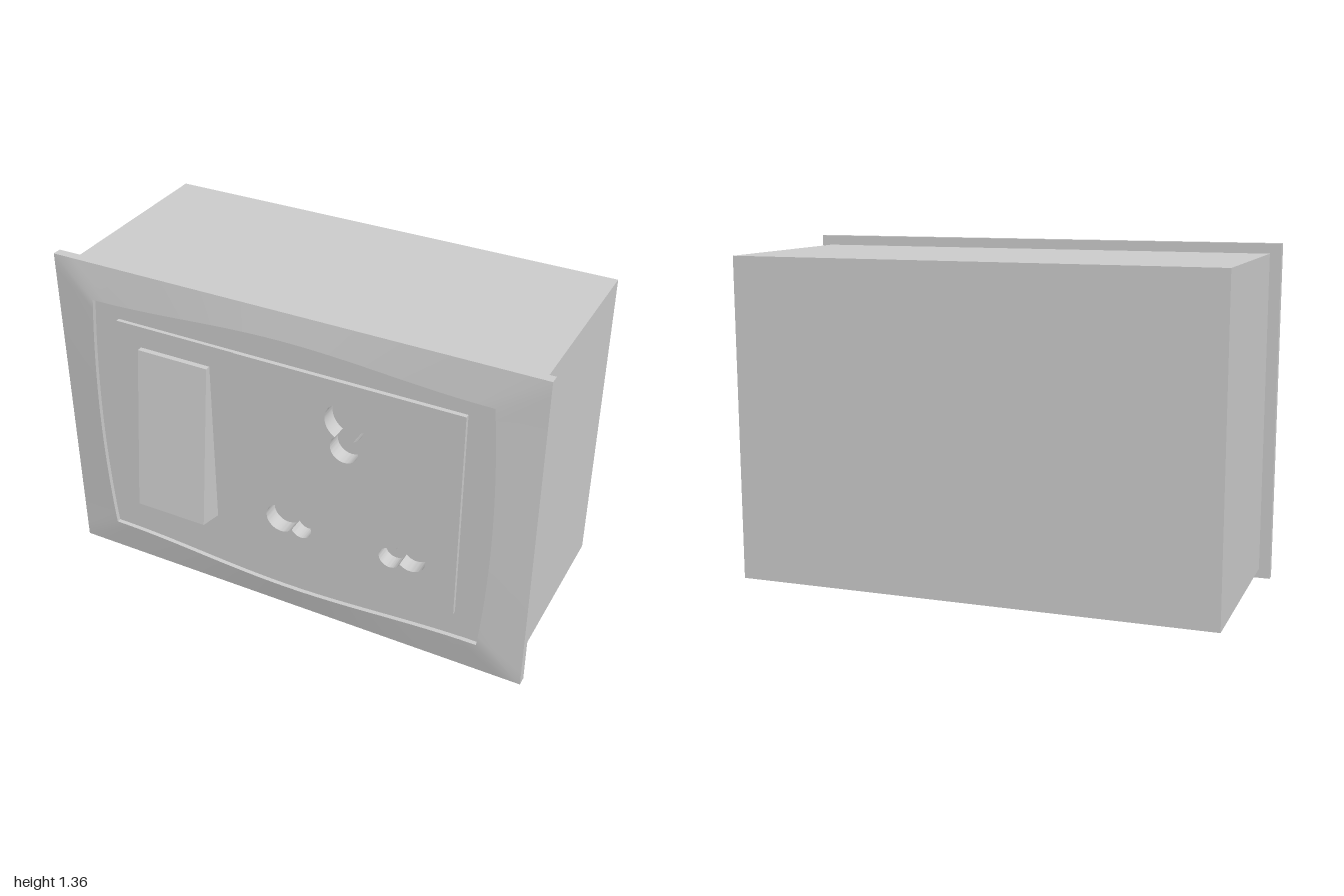
import * as THREE from 'three';
import { toCreasedNormals } from 'three/addons/utils/BufferGeometryUtils.js';

const MID = 0.68; // height of the plate centre
const material = new THREE.MeshStandardMaterial({ color: 0xcccccc });

function add(group, name, geometry, x = 0, y = 0, z = 0) {
  const mesh = new THREE.Mesh(geometry, material);
  mesh.name = name;
  mesh.position.set(x, y, z);
  group.add(mesh);
}

// Outlines: a point on one side (0 bottom, 1 right, 2 top, 3 left), s from -1 to 1
function rectangle(w, h) {
  return (side, s) => [[s * w, -h], [w, s * h], [-s * w, h], [-w, -s * h]][side];
}
function bowedFrame(side, s) {
  const v = 0.535 + 0.02 * (1 + Math.cos(Math.PI * s));
  const u = 0.82 + 0.027 * (1 - s * s);
  return [[s * 0.82, -v], [u, s * 0.535], [-s * 0.82, v], [-u, -s * 0.535]][side];
}

// Strips of quads between successive outlines
function loft(rings, steps) {
  const pos = [];
  for (let r = 0; r < rings.length - 1; r++) {
    for (let side = 0; side < 4; side++) {
      for (let i = 0; i < steps; i++) {
        const at = (k, j) => {
          const [outline, z] = rings[k];
          const [x, y] = outline(side, (2 * j) / steps - 1);
          return [x, y + MID, z];
        };
        const a = at(r, i), b = at(r, i + 1), c = at(r + 1, i + 1), d = at(r + 1, i);
        pos.push(...a, ...b, ...c, ...a, ...c, ...d);
      }
    }
  }
  const g = new THREE.BufferGeometry();
  g.setAttribute('position', new THREE.Float32BufferAttribute(pos, 3));
  return toCreasedNormals(g, 0.5);
}

// Keyhole outline: the union of two overlapping circles
function keyhole(ax, ay, ra, bx, by, rb) {
  const d = Math.hypot(bx - ax, by - ay), t = Math.atan2(by - ay, bx - ax);
  const alpha = Math.acos((d * d + ra * ra - rb * rb) / (2 * d * ra));
  const beta = Math.acos((d * d + rb * rb - ra * ra) / (2 * d * rb));
  const path = new THREE.Path();
  path.absarc(ax, ay, ra, t + alpha, t - alpha + 2 * Math.PI, false);
  path.absarc(bx, by, rb, t + Math.PI + beta, t + 3 * Math.PI - beta, false);
  return path;
}

function polygon(points) {
  return new THREE.Shape(points.map(([x, y]) => new THREE.Vector2(x, y)));
}

export function createModel() {
  const model = new THREE.Group();
  model.name = 'switchedSocket';

  // Box behind the plate
  add(model, 'backBox', new THREE.BoxGeometry(1.912, 1.28, 0.816), 0, MID, -0.083);

  // Cover plate: back, rim, sloping front, recess wall and recess floor
  const outer = rectangle(1, 0.68), inner = rectangle(0.72, 0.445);
  add(model, 'coverPlate', loft([
    [inner, 0.33], [outer, 0.33], [outer, 0.367],
    [bowedFrame, 0.39], [bowedFrame, 0.372], [inner, 0.372],
  ], 24));

  // Switch module and its tilted rocker
  add(model, 'switchPanel', new THREE.BoxGeometry(0.52, 0.89, 0.064), -0.46, 0.705, 0.356);
  const rocker = new THREE.ExtrudeGeometry(
    polygon([[0.36, 0.353], [0.495, 0.385], [0.41, 1.06], [0.36, 1.06]]),
    { depth: 0.305, bevelEnabled: false });
  rocker.rotateY(-Math.PI / 2);
  add(model, 'rocker', rocker, -0.31);

  // Socket module with three keyhole openings
  const face = polygon([[-0.2, 0.26], [0.72, 0.26], [0.72, 1.15], [-0.2, 1.15]]);
  face.holes.push(
    keyhole(0.255, 0.98, 0.08, 0.255, 0.865, 0.058),
    keyhole(-0.02, 0.45, 0.062, 0.07, 0.432, 0.045),
    keyhole(0.535, 0.46, 0.062, 0.45, 0.43, 0.045));
  const socket = new THREE.ExtrudeGeometry(face,
    { depth: 0.065, bevelEnabled: false, curveSegments: 24 });
  add(model, 'socketPanel', toCreasedNormals(socket, 0.5), 0, 0, 0.325);

  // Centre the recess modules on the plate
  for (const part of model.children) {
    if (/Panel|rocker/.test(part.name)) part.position.y -= 0;
  }
  return model;
}
